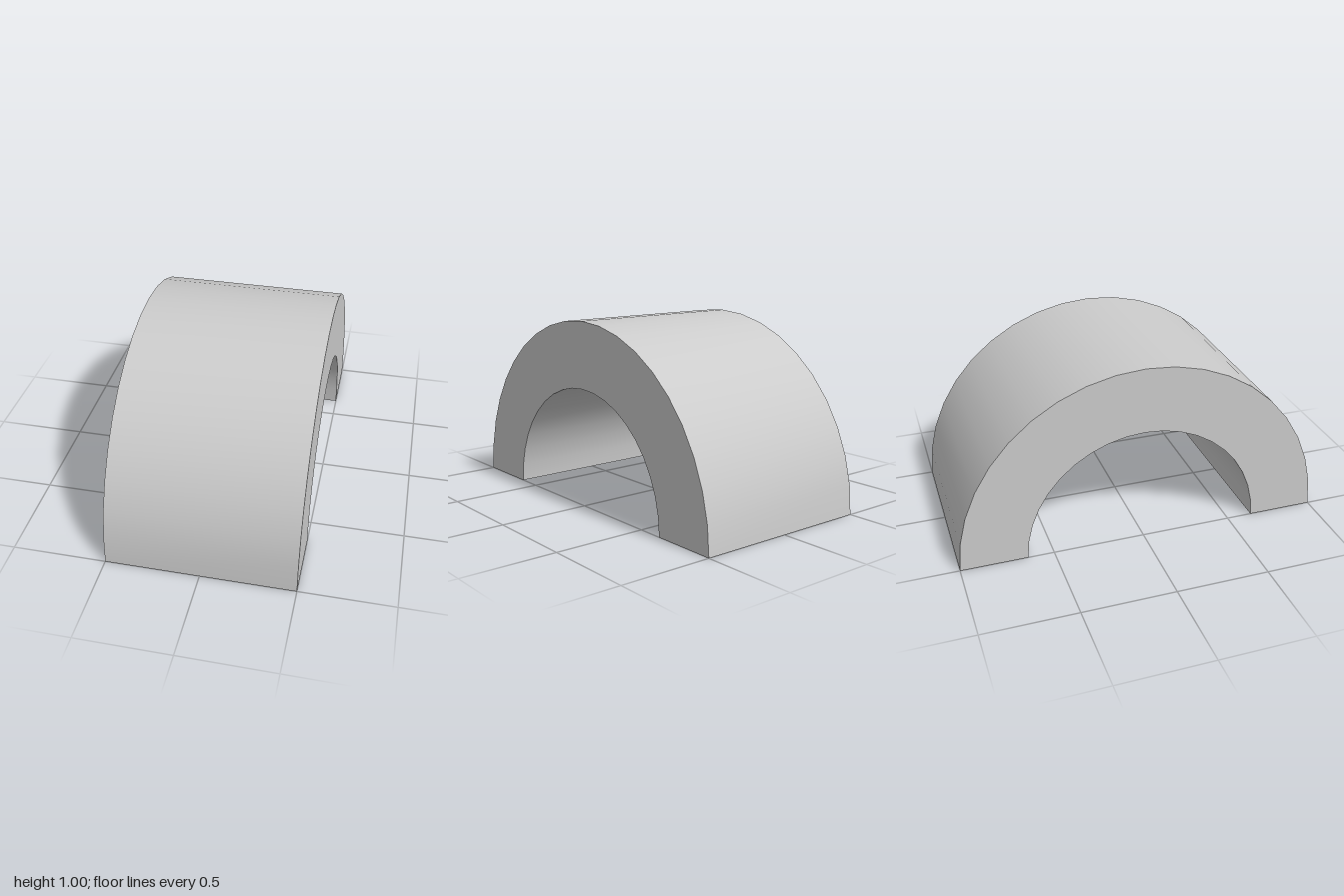
import * as THREE from 'three';
import { toCreasedNormals } from 'three/addons/utils/BufferGeometryUtils.js';

const OUTER = 1, INNER = 0.64, WIDTH = 1;

export function createModel() {
  const group = new THREE.Group();
  group.name = 'halfRingArch';

  // Half-ring profile; each arc is split into 20 segments
  const profile = new THREE.Shape();
  profile.absarc(0, 0, OUTER, 0, Math.PI, false);
  profile.absarc(0, 0, INNER, Math.PI, 0, true);
  profile.closePath();

  // Extruded across the width, then turned so the tunnel runs along x
  const geometry = new THREE.ExtrudeGeometry(profile, {
    depth: WIDTH, bevelEnabled: false, curveSegments: 10,
  });
  geometry.translate(0, 0, -WIDTH / 2);
  geometry.rotateY(Math.PI / 2);

  // Smooth curved faces, sharp rims and feet
  const arch = new THREE.Mesh(
    toCreasedNormals(geometry, Math.PI / 6),
    new THREE.MeshStandardMaterial({ color: 0xcccccc }),
  );
  arch.name = 'arch';
  group.add(arch);
  return group;
}
